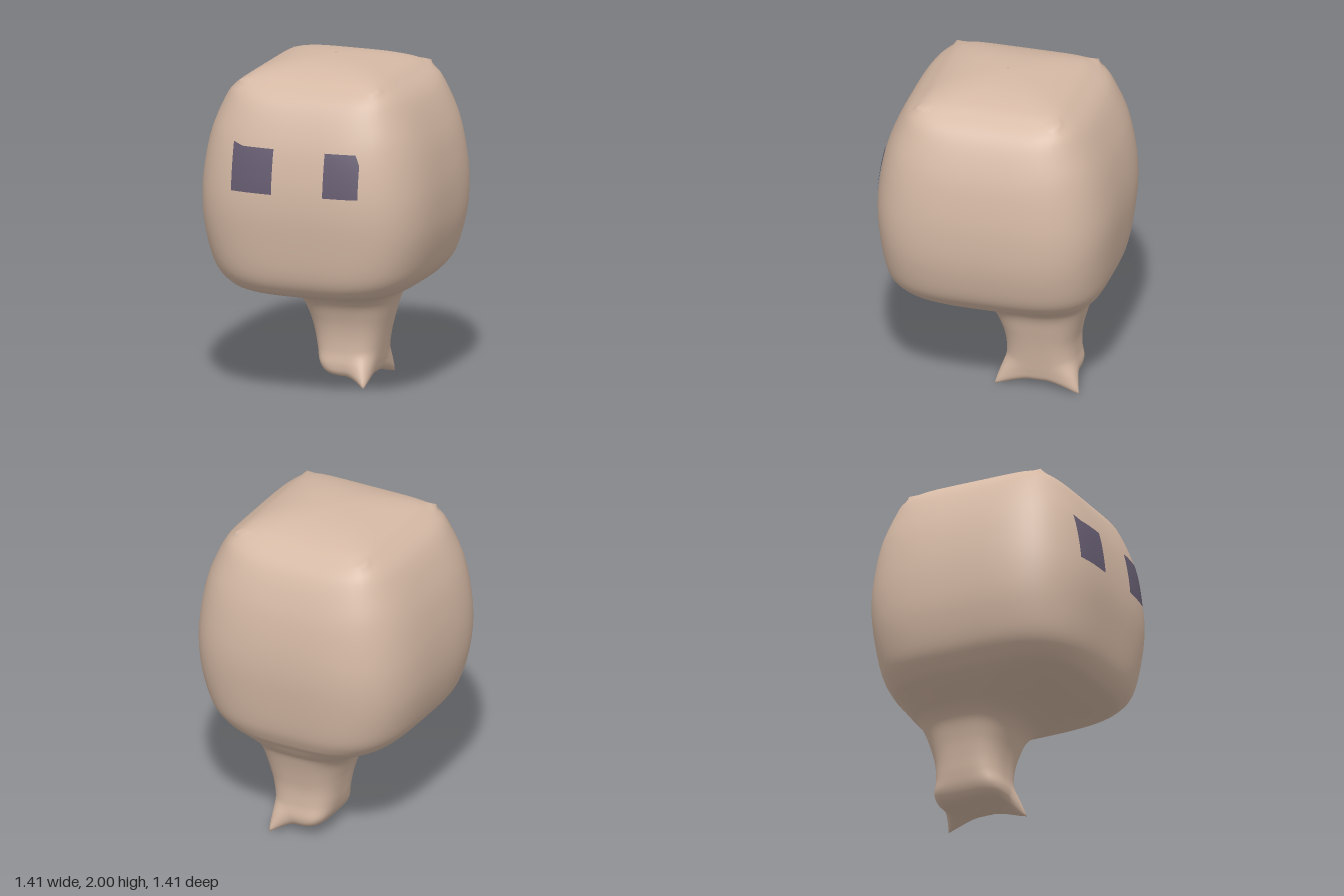
import * as THREE from 'three';

// Body sections from bottom to top: y, xMin, xMax, zMin, zMax, squareness
const square = (y, h, n) => [y, -h, h, -h, h, n];
const ROWS = [
  [0.045, 0.04, 0.045, -0.225, -0.22, 2.5],
  [0.05, -0.04, 0.15, -0.38, -0.06, 3],
  [0.07, -0.10, 0.185, -0.43, -0.02, 4],
  [0.12, -0.14, 0.20, -0.45, -0.01, 4],
  [0.2, -0.165, 0.215, -0.44, -0.02, 3.2],
  [0.3, -0.185, 0.235, -0.44, -0.015, 3],
  [0.4, -0.21, 0.26, -0.46, 0.01, 3],
  [0.5, -0.25, 0.29, -0.49, 0.06, 3],
  [0.56, -0.31, 0.33, -0.515, 0.15, 3],
  [0.6, -0.39, 0.39, -0.55, 0.32, 3],
  [0.65, -0.49, 0.49, -0.585, 0.53, 3.3],
  [0.7, -0.56, 0.56, -0.62, 0.61, 3.5],
  [0.8, -0.635, 0.635, -0.66, 0.66, 3.5],
  square(1.0, 0.692, 3.5),
  square(1.2, 0.707, 3.5),
  square(1.4, 0.692, 3.5),
  square(1.6, 0.647, 3.7),
  square(1.8, 0.555, 4.5),
  square(1.905, 0.435, 8),
  square(1.95, 0.345, 6),
  square(1.98, 0.23, 4),
  square(1.995, 0.11, 3),
  square(2.0, 0.002, 2.5),
];

// Smooth section at t, in row units
function section(t) {
  const last = ROWS.length - 1;
  const i = Math.min(Math.floor(t), last - 1), f = t - i;
  const [a, b, c, d] = [i - 1, i, i + 1, i + 2].map(k => ROWS[THREE.MathUtils.clamp(k, 0, last)]);
  return b.map((p, k) => {
    const m0 = (c[k] - a[k]) / 2, m1 = (d[k] - p) / 2, e = c[k] - p;
    return p + f * (m0 + f * (3 * e - 2 * m0 - m1 + f * (m0 + m1 - 2 * e)));
  });
}

// Front surface depth at a given x and y
function frontZ(x, y) {
  let lo = 0, hi = ROWS.length - 1;
  for (let k = 0; k < 30; k++) {
    const mid = (lo + hi) / 2;
    if (section(mid)[0] < y) lo = mid; else hi = mid;
  }
  const [, x0, x1, z0, z1, n] = section(lo);
  const u = Math.abs(x - (x0 + x1) / 2) / ((x1 - x0) / 2);
  return (z0 + z1) / 2 + (z1 - z0) / 2 * Math.pow(1 - Math.pow(u, n), 1 / n);
}

// Pinched corners: anchor, pull, radius, falloff power
const PULLS = [];
for (const sx of [-1, 1]) for (const sz of [-1, 1])
  PULLS.push([new THREE.Vector3(sx * 0.415, 1.905, sz * 0.415), new THREE.Vector3(sx * 0.025, 0.015, sz * 0.025), 0.06, 2]);
for (const s of [-1, 1])
  PULLS.push([new THREE.Vector3(0.162, 0.07, -0.225 + s * 0.172), new THREE.Vector3(0.02, -0.068, s * 0.085), 0.13, 2]);

function grid(positions, rows, cols, wrap) {
  const index = [];
  for (let r = 0; r < rows - 1; r++) for (let c = 0; c < (wrap ? cols : cols - 1); c++) {
    const a = r * cols + c, b = r * cols + (c + 1) % cols;
    index.push(a, b, b + cols, a, b + cols, a + cols);
  }
  const g = new THREE.BufferGeometry();
  g.setAttribute('position', new THREE.Float32BufferAttribute(positions, 3));
  g.setIndex(index);
  g.computeVertexNormals();
  return g;
}

function bodyGeometry() {
  const SEG = 96, SUB = 6, rings = (ROWS.length - 1) * SUB + 1, pos = [];
  for (let r = 0; r < rings; r++) {
    const [y, x0, x1, z0, z1, n] = section(r / SUB);
    for (let s = 0; s < SEG; s++) {
      const th = s / SEG * Math.PI * 2, cx = Math.sin(th), cz = Math.cos(th);
      const k = Math.pow(Math.abs(cx) ** n + Math.abs(cz) ** n, -1 / n);
      const p = new THREE.Vector3((x0 + x1) / 2 + cx * k * (x1 - x0) / 2, y, (z0 + z1) / 2 + cz * k * (z1 - z0) / 2);
      const base = p.clone();
      for (const [anchor, pull, radius, power] of PULLS) {
        const w = Math.max(0, 1 - base.distanceTo(anchor) / radius);
        p.addScaledVector(pull, Math.pow(w, power));
      }
      pos.push(p.x, p.y, p.z);
    }
  }
  return grid(pos, rings, SEG, true);
}

// Eye patch following the front surface, with its own top outline
function eyeGeometry(x0, x1, y0, topAt) {
  const N = 24, pos = [];
  for (let r = 0; r <= N; r++) for (let c = 0; c <= N; c++) {
    const x = x0 + (x1 - x0) * c / N, y = y0 + (topAt(x) - y0) * r / N;
    pos.push(x, y, frontZ(x, y) + 0.005);
  }
  return grid(pos, N + 1, N + 1, false);
}

export function createModel() {
  const skin = new THREE.MeshStandardMaterial({ color: 0xd4b8a4 });
  skin.name = 'skin';
  const dark = new THREE.MeshStandardMaterial({ color: 0x655c70 });
  dark.name = 'eyeGrey';
  const group = new THREE.Group();
  const add = (name, geometry, material) => {
    const mesh = new THREE.Mesh(geometry, material);
    mesh.name = name;
    group.add(mesh);
  };
  add('headAndNeck', bodyGeometry(), skin);
  add('rightEye', eyeGeometry(-0.395, -0.135, 1.295, x => 1.56 + 0.02 * Math.max(0, (-0.335 - x) / 0.06)), dark);
  add('leftEye', eyeGeometry(0.185, 0.395, 1.3, x => 1.56 - 0.06 * Math.max(0, (x - 0.37) / 0.025)), dark);
  return group;
}
